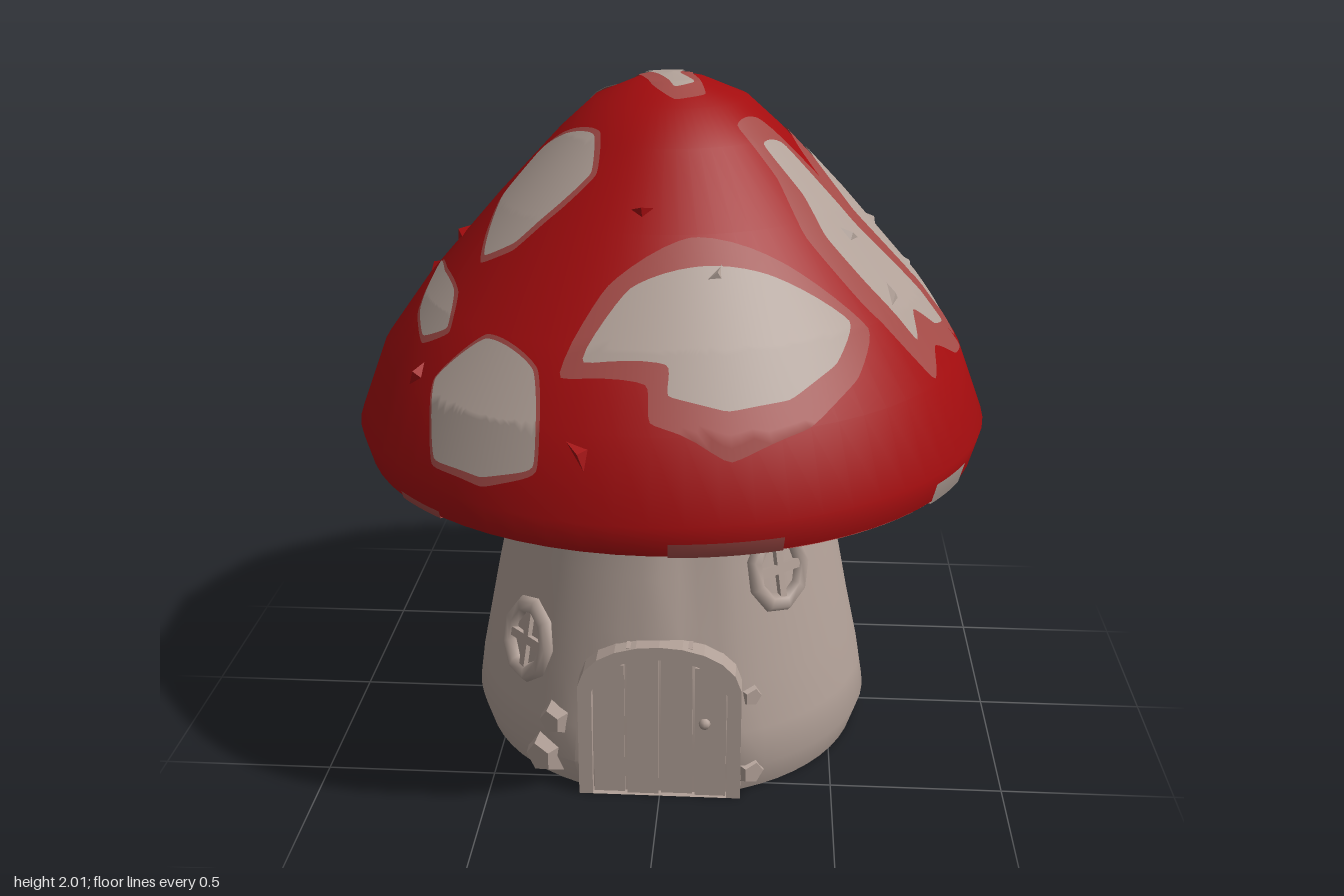
import * as THREE from 'three';
import { toCreasedNormals } from 'three/addons/utils/BufferGeometryUtils.js';

const mat = (name, color, side = THREE.FrontSide) => {
  const m = new THREE.MeshStandardMaterial({ color, side });
  m.name = name;
  return m;
};
const V2 = (a) => a.map(([x, y]) => new THREE.Vector2(x, y));

// Cap and stem profiles as [radius, height], bottom to top
const CAP = [[0.905, 0.93], [0.93, 1.02], [0.85, 1.23], [0.72, 1.41], [0.5, 1.66], [0.32, 1.85], [0.22, 1.94], [0.1, 1.99], [0, 2]];
const STEM = [[0, 0], [0.3, 0], [0.585, 0], [0.615, 0.09], [0.6, 0.2], [0.57, 0.35], [0.54, 0.5], [0.505, 0.66], [0.475, 0.8], [0.45, 0.95]];

// Point on the cap (plan position x, z), pushed out along the surface normal
function onCap(x, z, off) {
  const r = Math.min(Math.hypot(x, z), 0.925), a = Math.atan2(x, z);
  let i = 1;
  while (i < CAP.length - 2 && r < CAP[i + 1][0]) i++;
  const [r0, y0] = CAP[i], [r1, y1] = CAP[i + 1];
  const y = y0 + ((r - r0) / (r1 - r0)) * (y1 - y0);
  const l = Math.hypot(y1 - y0, r1 - r0), nr = (y1 - y0) / l, ny = (r0 - r1) / l;
  const R = r + nr * off;
  return {
    p: new THREE.Vector3(R * Math.sin(a), y + ny * off, R * Math.cos(a)),
    n: new THREE.Vector3(nr * Math.sin(a), ny, nr * Math.cos(a)),
  };
}

// Patch hugging the cap: plan outline filled with rings around its centre
function patchGeometry(outline, inset, off) {
  let pts = V2(outline);
  const c = pts.reduce((s, p) => s.add(p), new THREE.Vector2()).divideScalar(pts.length);
  if (THREE.ShapeUtils.area(pts) > 0) pts = pts.reverse();
  pts = pts.map((p) => {
    const d = p.clone().sub(c);
    return c.clone().add(d.multiplyScalar(Math.max(0.3, 1 - inset / d.length())));
  });
  const curve = new THREE.CatmullRomCurve3(pts.map((p) => new THREE.Vector3(p.x, 0, p.y)), true, 'catmullrom', 0.25);
  const N = 64, K = 16, pos = [], nor = [], idx = [];
  const edge = curve.getPoints(N);
  for (let k = 0; k <= K; k++) {
    for (let i = 0; i <= N; i++) {
      const t = k / K;
      const s = onCap(c.x + (edge[i].x - c.x) * t, c.y + (edge[i].z - c.y) * t, off);
      pos.push(...s.p);
      nor.push(...s.n);
      if (k < K && i < N) {
        const a = k * (N + 1) + i, b = a + N + 1;
        idx.push(a, b, b + 1, a, b + 1, a + 1);
      }
    }
  }
  const g = new THREE.BufferGeometry();
  g.setAttribute('position', new THREE.Float32BufferAttribute(pos, 3));
  g.setAttribute('normal', new THREE.Float32BufferAttribute(nor, 3));
  g.setIndex(idx);
  return g;
}

// Arched outline for the door and its frame
function arch(Path, w, h) {
  const s = new Path();
  s.moveTo(-w, 0);
  s.lineTo(w, 0);
  s.lineTo(w, h - w * 0.7);
  s.bezierCurveTo(w * 0.9, h + w * 0.06, -w * 0.9, h + w * 0.06, -w, h - w * 0.7);
  s.lineTo(-w, 0);
  return s;
}

export function createModel() {
  const root = new THREE.Group();
  root.name = 'mushroomHouse';
  const red = mat('capRed', 0xa30c0e);
  const beige = mat('beige', 0xb1a097);
  const pink = mat('spotBorder', 0xa24a46, THREE.DoubleSide);
  const pale = mat('spotBeige', 0xb1a198, THREE.DoubleSide);
  const add = (name, geo, m, parent = root) => {
    const mesh = new THREE.Mesh(geo, m);
    mesh.name = name;
    parent.add(mesh);
    return mesh;
  };

  // Cap and its flat underside
  add('cap', new THREE.LatheGeometry(V2(CAP), 64), red);
  add('capUnderside', new THREE.LatheGeometry(V2([[0, 0.93], [0.905, 0.93]]), 64), beige);

  // Irregular spots: plan outline and border width
  const spots = {
    backSpot: [0.02, [[-.39, -.83], [-.17, -.91], [-.04, -.88], [0, -.78], [-.01, -.67], [-.04, -.55], [-.05, -.4], [-.1, -.22], [-.22, -.06], [-.33, -.18], [-.37, -.33], [-.45, -.45], [-.4, -.57], [-.36, -.7]]],
    backRightSpot: [0.01, [[-.74, -.46], [-.66, -.62], [-.54, -.64], [-.54, -.5], [-.6, -.38], [-.68, -.4]]],
    rightUpperSpot: [0.015, [[-.47, .13], [-.36, .08], [-.27, .14], [-.18, .23], [-.18, .34], [-.27, .38], [-.4, .4], [-.5, .35], [-.5, .25]]],
    rightSpot: [0.015, [[-.66, .1], [-.62, .22], [-.56, .38], [-.57, .48], [-.66, .42], [-.7, .27]]],
    frontRightSpot: [0.01, [[-.6, .56], [-.45, .57], [-.3, .7], [-.29, .84], [-.44, .8], [-.59, .69]]],
    frontSpot: [0.06, [[-.24, .73], [-.13, .59], [.08, .5], [.33, .47], [.55, .47], [.52, .6], [.4, .75], [.2, .85], [0, .83], [-.02, .77]]],
    leftBackSpot: [0.06, [[.53, -.56], [.62, -.38], [.64, -.22], [.78, -.12], [.83, .05], [.72, .1], [.5, .15], [.36, .05], [.32, -.1], [.39, -.33]]],
    leftFrontSpot: [0.07, [[.19, .2], [.25, .11], [.48, .1], [.7, .08], [.84, .07], [.82, .18], [.75, .28], [.74, .4], [.55, .42], [.38, .37], [.3, .27]]],
    topSpot: [0.055, [[-.12, -.14], [.04, -.16], [.06, -.02], [.1, .13], [.02, .18], [-.05, .1]]],
  };
  for (const [name, [border, outline]] of Object.entries(spots)) {
    add(name + 'Border', patchGeometry(outline, 0, 0.004), pink);
    add(name, patchGeometry(outline, border, 0.008), pale);
  }

  // Small splashes along the rim: start angle, sweep, height, material
  const rim = [[0.05, 0.33, 0.04, pink], [0.95, 0.2, 0.06, pale], [1.9, 0.5, 0.03, pale], [2.45, 0.2, 0.06, pink], [2.85, 0.3, 0.08, pale], [3.4, 0.3, 0.04, pink], [4.3, 0.4, 0.03, pink], [5.4, 0.2, 0.02, pink]];
  for (const [a, sweep, h, m] of rim) {
    add('rimSplash', new THREE.LatheGeometry(V2([[0.9, 0.927], [0.909, 0.928], [0.909 + h * 0.28, 0.93 + h]]), 8, a, sweep), m);
  }
  for (const [r0, a, sweep] of [[0.76, 4.1, 1.1], [0.86, 0.4, 0.9], [0.85, 2.1, 0.5]]) {
    add('undersideSplash', new THREE.LatheGeometry(V2([[r0, 0.926], [0.9, 0.926]]), 16, a, sweep), pink);
  }

  // Crumpled chips on the cap: x, z, size, twist, material
  const chips = [[.2, -.68, .07, 0, red], [.4, -.67, .07, 1, red], [.3, -.74, .06, 2, red], [-.62, -.02, .08, 2, red], [-.72, -.12, .06, 1, red], [-.66, .5, .05, .5, red],
    [-.18, .85, .06, 2, red], [.78, -.45, .06, 1, red], [-.05, .45, .04, 0, red], [.15, .56, .06, 1, pale], [.5, .24, .08, .4, pale], [.62, .3, .09, 2, pale],
    [.58, -.12, .08, 1, pale], [.68, .0, .07, 2.5, pale], [-.62, -.5, .05, 1, pale]];
  for (const [x, z, size, twist, m] of chips) {
    const { p, n } = onCap(x, z, 0.008);
    const chip = add('capCrease', new THREE.ConeGeometry(size, 0.025, 3).toNonIndexed(), m);
    chip.geometry.computeVertexNormals();
    chip.position.copy(p);
    chip.quaternion.setFromUnitVectors(new THREE.Vector3(0, 1, 0), n);
    chip.rotateY(twist);
    chip.scale.set(1, 1, 0.5);
  }

  // Stem with vertical folds, flattened behind the door
  let stemGeo = new THREE.LatheGeometry(V2(STEM), 60);
  const sp = stemGeo.attributes.position;
  for (let i = 0; i < sp.count; i++) {
    const x = sp.getX(i), y = sp.getY(i), z = sp.getZ(i), a = Math.atan2(x, z);
    const fold = Math.max(0, Math.sin(9 * a) + 0.6 * Math.sin(4 * a + 1) - 0.5);
    const k = 1 - 0.03 * fold * Math.min(1, y * 1.6);
    sp.setXYZ(i, x * k, y, Math.min(z * k, 0.56));
  }
  stemGeo = toCreasedNormals(stemGeo, 0.6);
  add('stem', stemGeo, beige);

  // Arched door: frame, planks and handle
  const door = new THREE.Group();
  door.name = 'door';
  root.add(door);
  const frame = arch(THREE.Shape, 0.235, 0.52);
  frame.holes.push(arch(THREE.Path, 0.195, 0.475));
  const frameGeo = new THREE.ExtrudeGeometry(frame, { depth: 0.2, bevelEnabled: false, curveSegments: 10 });
  add('doorFrame', frameGeo, beige, door).position.z = 0.385;
  for (let i = 0; i < 4; i++) {
    const h = i % 3 ? 0.48 : 0.42;
    const plank = add('doorPlank', new THREE.BoxGeometry(0.09, h, 0.12), beige, door);
    plank.position.set(-0.147 + i * 0.098, h / 2, 0.508 + (i % 2) * 0.006);
  }
  add('doorHandle', new THREE.SphereGeometry(0.018, 8, 6), beige, door).position.set(0.13, 0.24, 0.572);

  // Round windows with crossed bars
  for (const [x, y, r] of [[-0.4, 0.4, 0.56], [0.33, 0.65, 0.507]]) {
    const win = new THREE.Group();
    win.name = 'window';
    const a = Math.asin(x / r);
    win.position.set(x, y, r * Math.cos(a));
    win.rotation.set(-0.2, a, 0, 'YXZ');
    win.scale.y = 1.2;
    add('windowRing', new THREE.TorusGeometry(0.088, 0.024, 6, 9), beige, win);
    for (const t of [0, Math.PI / 2]) {
      add('windowBar', new THREE.BoxGeometry(0.16, 0.022, 0.03), beige, win).rotation.z = t;
    }
    root.add(win);
  }

  // Stones beside the door
  for (const [x, y, z, s] of [[-0.33, 0.08, 0.48, 0.075], [-0.3, 0.2, 0.49, 0.06], [0.25, 0.07, 0.52, 0.055], [0.25, 0.3, 0.49, 0.045]]) {
    add('stone', new THREE.DodecahedronGeometry(s), beige).position.set(x, y, z);
  }
  return root;
}
